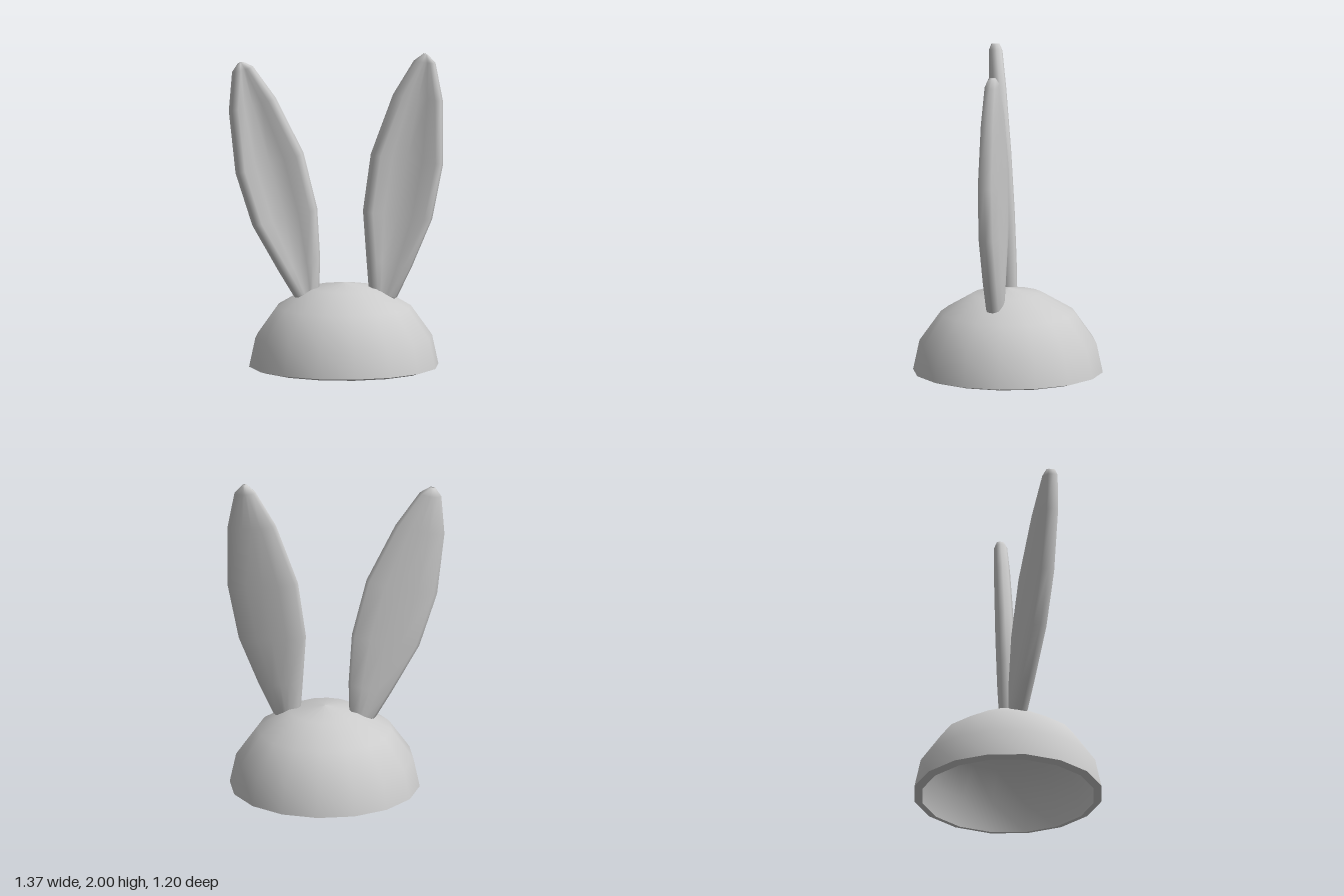
import * as THREE from 'three';

const material = new THREE.MeshStandardMaterial({ color: 0xcccccc });

function lathe(name, points) {
  const profile = points.map(([r, y]) => new THREE.Vector2(r, y));
  const mesh = new THREE.Mesh(new THREE.LatheGeometry(profile, 16), material);
  mesh.name = name;
  mesh.position.x = 0.06;
  return mesh;
}

// Each row: left edge x, y, right edge x, y, half thickness, depth of the front hollow.
// plane(x, y) gives the z of the ear's middle surface.
function ear(name, rows, plane) {
  const positions = [];
  const index = [];
  const count = 14;

  for (const [lx, ly, rx, ry, t, hollow] of rows) {
    const half = (rx - lx) / 2;
    const rim = Math.min(0.055, half * 0.6) / half;
    const inner = 1 - rim;
    // Rounded edges, hollow front and gently bulging back
    const section = [
      [-1, 0], [-1 + rim * 0.3, t * 0.75], [-inner, t], [-inner * 0.55, t - hollow * 0.75],
      [0, t - hollow], [inner * 0.55, t - hollow * 0.75], [inner, t], [1 - rim * 0.3, t * 0.75],
      [1, 0], [1 - rim * 0.35, -t * 0.7], [inner * 0.6, -t * 0.97], [0, -t],
      [-inner * 0.6, -t * 0.97], [-1 + rim * 0.35, -t * 0.7],
    ];
    for (const [u, w] of section) {
      const x = THREE.MathUtils.lerp(lx, rx, (u + 1) / 2);
      const y = THREE.MathUtils.lerp(ly, ry, (u + 1) / 2);
      positions.push(x, y, plane(x, y) + w);
    }
  }

  for (let r = 0; r < rows.length - 1; r++) {
    for (let i = 0; i < count; i++) {
      const a = r * count + i;
      const b = r * count + (i + 1) % count;
      index.push(a, b, b + count, a, b + count, a + count);
    }
  }

  // Caps at the root and the tip
  for (const r of [0, rows.length - 1]) {
    const [lx, ly, rx, ry] = rows[r];
    const x = (lx + rx) / 2, y = (ly + ry) / 2;
    const centre = positions.length / 3;
    positions.push(x, y, plane(x, y));
    for (let i = 0; i < count; i++) {
      const a = r * count + i;
      const b = r * count + (i + 1) % count;
      if (r === 0) index.push(centre, b, a);
      else index.push(centre, a, b);
    }
  }

  const geometry = new THREE.BufferGeometry();
  geometry.setAttribute('position', new THREE.Float32BufferAttribute(positions, 3));
  geometry.setIndex(index);
  geometry.computeVertexNormals();
  const mesh = new THREE.Mesh(geometry, material);
  mesh.name = name;
  return mesh;
}

export function createModel() {
  const group = new THREE.Group();
  group.name = 'rabbitEarCap';

  // Hollow cap
  group.add(
    lathe('capOuter', [[0.6, 0.015], [0.56, 0.2], [0.425, 0.39], [0.22, 0.51], [0, 0.545]]),
    lathe('capInner', [[0, 0.505], [0.2, 0.473], [0.39, 0.36], [0.515, 0.185], [0.55, 0]]),
    lathe('capRim', [[0.55, 0], [0.6, 0.015]]),
  );

  // Ears, from root to tip
  group.add(ear('rightEar', [
    [-0.24, 0.445, -0.105, 0.485, 0.04, 0],
    [-0.26, 0.465, -0.095, 0.51, 0.052, 0.005],
    [-0.36, 0.63, -0.09, 0.7, 0.056, 0.02],
    [-0.53, 0.93, -0.11, 1.02, 0.058, 0.045],
    [-0.64, 1.27, -0.2, 1.38, 0.056, 0.05],
    [-0.685, 1.67, -0.38, 1.74, 0.05, 0.035],
    [-0.665, 1.92, -0.53, 1.95, 0.042, 0.008],
    [-0.63, 1.97, -0.59, 1.98, 0.025, 0],
  ], (x, y) => 0.01 - 0.18 * (x + 0.09) + 0.033 * (y - 0.8)));

  group.add(ear('leftEar', [
    [0.225, 0.47, 0.37, 0.44, 0.04, 0],
    [0.215, 0.49, 0.39, 0.455, 0.052, 0.005],
    [0.2, 0.7, 0.48, 0.64, 0.056, 0.02],
    [0.18, 1.0, 0.61, 0.95, 0.058, 0.045],
    [0.23, 1.36, 0.68, 1.3, 0.056, 0.05],
    [0.37, 1.74, 0.68, 1.7, 0.05, 0.035],
    [0.5, 1.955, 0.635, 1.94, 0.042, 0.008],
    [0.56, 2.0, 0.59, 1.99, 0.025, 0],
  ], (x, y) => 0.055 + 0.17 * (x - 0.3) - 0.033 * (y - 0.45)));

  return group;
}
